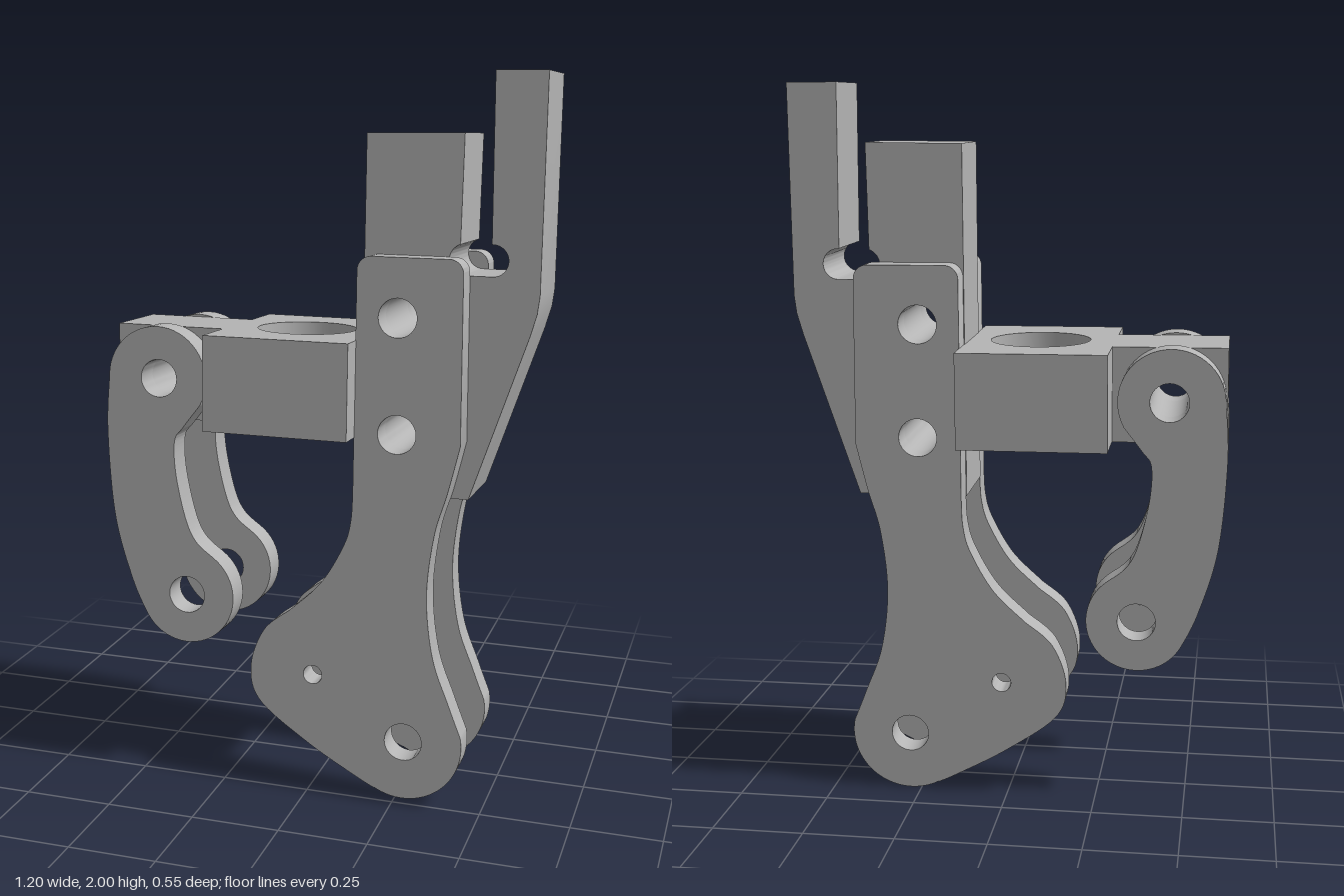
import * as THREE from 'three';
import { toCreasedNormals } from 'three/addons/utils/BufferGeometryUtils.js';

const IN = 0.118, OUT = 0.196;   // inner and outer faces of the side plates
const PIN = 0.053;               // pin hole radius
const v2 = (pts) => pts.map(([x, y]) => new THREE.Vector2(x, y));

function addHoles(shape, holes) {
  for (const [x, y, r] of holes) {
    const p = new THREE.Path();
    p.absarc(x, y, r, 0, Math.PI * 2, true);
    shape.holes.push(p);
  }
  return shape;
}

function extrude(shape, depth) {
  const g = new THREE.ExtrudeGeometry(shape, { depth, bevelEnabled: false, curveSegments: 16 });
  return toCreasedNormals(g, 0.5);
}

function rect(x0, y0, x1, y1) {
  return new THREE.Shape(v2([[x0, y0], [x1, y0], [x1, y1], [x0, y1]]));
}

// Lever plate: rounded top, narrow waist, two-lobed foot
function plateShape() {
  const s = new THREE.Shape();
  s.moveTo(0.122, 1.48);
  s.lineTo(0.122, 0.87);
  s.splineThru(v2([[0.118, 0.79], [0.098, 0.718], [0.035, 0.608], [-0.055, 0.52]]));
  s.splineThru(v2([[-0.13, 0.455], [-0.168, 0.345], [-0.14, 0.245], [0, 0.14], [0.14, 0.06], [0.2, 0.03]]));
  s.absarc(0.28, 0.176, 0.165, -2.08, 0.2, false);
  s.splineThru(v2([[0.405, 0.3], [0.357, 0.43], [0.336, 0.6], [0.352, 0.77], [0.385, 0.89], [0.416, 1.02]]));
  s.lineTo(0.41, 1.475);
  s.absarc(0.372, 1.475, 0.038, 0, Math.PI / 2, false);
  s.lineTo(0.16, 1.513);
  s.absarc(0.16, 1.475, 0.038, Math.PI / 2, Math.PI, false);
  return addHoles(s, [[0.236, 1.353, PIN], [0.241, 1.04, PIN], [0.28, 0.176, PIN], [0.015, 0.34, 0.027]]);
}

// Curved link with a round eye at each end
function linkShape() {
  const s = new THREE.Shape();
  s.absarc(-0.452, 1.15, 0.145, -0.5, Math.PI, false);
  s.splineThru(v2([[-0.604, 0.99], [-0.583, 0.745], [-0.53, 0.56], [-0.482, 0.458]]));
  s.absarc(-0.363, 0.533, 0.14, -2.58, 0.95, false);
  s.splineThru(v2([[-0.335, 0.69], [-0.367, 0.755], [-0.396, 0.88], [-0.4, 0.975], [-0.375, 1.015], [-0.325, 1.08]]));
  return addHoles(s, [[-0.447, 1.15, PIN], [-0.363, 0.533, PIN]]);
}

// Central column and bent arm, separated by a slot with a rounded undercut
function coreShape() {
  const s = new THREE.Shape(v2([[0.12, 0.86], [0.425, 0.86], [0.575, 1.31], [0.592, 1.37],
    [0.598, 1.42], [0.598, 1.996], [0.46, 1.996], [0.466, 1.55]]));
  s.absarc(0.47, 1.507, 0.042, Math.PI / 2, -Math.PI / 2, true);
  s.lineTo(0.395, 1.465);
  s.absarc(0.395, 1.507, 0.042, -Math.PI / 2, -Math.PI * 1.4, true);
  s.lineTo(0.385, 1.836);
  s.lineTo(0.12, 1.832);
  s.closePath();
  return addHoles(s, [[0.236, 1.353, PIN], [0.241, 1.04, PIN]]);
}

export function createModel() {
  const model = new THREE.Group();
  const parts = new THREE.Group();
  parts.name = 'leverAssembly';
  parts.position.z = 0.065;
  model.add(parts);
  model.rotation.x = -0.054;   // the assembly leans slightly back

  const metal = new THREE.MeshStandardMaterial({ color: 0xb4b4b4 });
  metal.name = 'greyMetal';
  const add = (name, geometry) => {
    const m = new THREE.Mesh(geometry, metal);
    m.name = name;
    parts.add(m);
    return m;
  };

  // Paired plates and links, front and back
  for (const [side, z] of [['front', IN], ['back', -OUT]]) {
    add(side + 'LeverPlate', extrude(plateShape(), OUT - IN)).position.z = z;
    add(side + 'Link', extrude(linkShape(), OUT - IN)).position.z = z;
  }

  add('centralColumn', extrude(coreShape(), 2 * IN)).position.z = -IN;

  // Cross block with a vertical bore
  const y0 = 1.024, y1 = 1.288;
  const block = extrude(addHoles(rect(-0.287, -0.27, 0.123, 0.27), [[-0.077, 0, 0.14]]), y1 - y0);
  block.rotateX(-Math.PI / 2);
  add('crossBlock', block).position.y = y0;

  // Narrow arm carrying the link pin
  const arm = extrude(addHoles(rect(-0.502, y0, -0.287, y1), [[-0.447, 1.15, PIN]]), 2 * IN);
  add('blockArm', arm).position.z = -IN;

  // Arm end with a bore along its length
  const end = extrude(addHoles(rect(-IN, y0, IN, y1), [[0, 1.15, 0.046]]), 0.099);
  end.rotateY(Math.PI / 2);
  add('armEnd', end).position.x = -0.601;

  return model;
}
